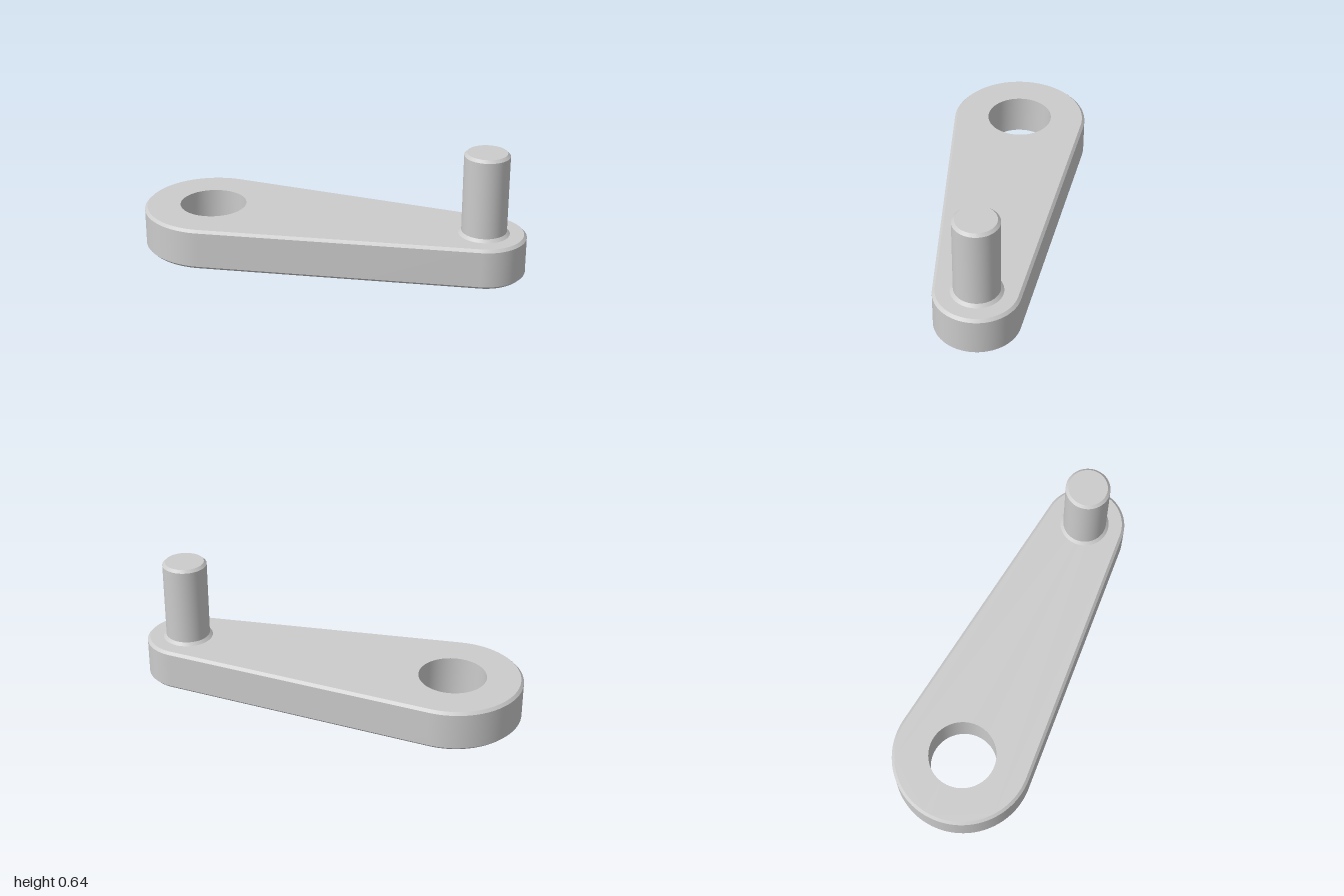
import * as THREE from 'three';
import { mergeGeometries, toCreasedNormals } from 'three/addons/utils/BufferGeometryUtils.js';

const HUB = { x: -0.643, r: 0.357 }, TIP = { x: 0.786, r: 0.214 };
const BORE = 0.172, THICK = 0.214, CHAMFER = 0.014;
const CREASE = Math.PI / 6;

// Points on an arc, counter-clockwise
function arc(cx, r, from, to, n) {
  return Array.from({ length: n + 1 }, (_, i) => {
    const a = from + (to - from) * i / n;
    return new THREE.Vector2(cx + r * Math.cos(a), r * Math.sin(a));
  });
}

// Two arcs joined by their common tangents, shrunk by an inset
function outline(inset) {
  const t = Math.acos((HUB.r - TIP.r) / (TIP.x - HUB.x));
  return [
    ...arc(TIP.x, TIP.r - inset, -t, t, 40),
    ...arc(HUB.x, HUB.r - inset, t, 2 * Math.PI - t, 56),
  ];
}

// Wall through matching closed rings, given as [points, height]
function wall(rings) {
  const pos = [], idx = [], n = rings[0][0].length;
  for (const [pts, y] of rings) for (const p of pts) pos.push(p.x, y, -p.y);
  for (let k = 0; k < rings.length - 1; k++) {
    for (let i = 0; i < n; i++) {
      const a = k * n + i, b = k * n + (i + 1) % n;
      idx.push(a, b, b + n, a, b + n, a + n);
    }
  }
  const g = new THREE.BufferGeometry();
  g.setAttribute('position', new THREE.Float32BufferAttribute(pos, 3));
  g.setIndex(idx);
  return g.toNonIndexed();
}

// Flat face of the arm with the bore cut out
function cap(y, up, hole) {
  const shape = new THREE.Shape(outline(CHAMFER));
  shape.holes.push(new THREE.Path(hole));
  const g = new THREE.ShapeGeometry(shape).toNonIndexed();
  g.rotateX(up ? -Math.PI / 2 : Math.PI / 2).translate(0, y, 0);
  g.deleteAttribute('uv');
  g.deleteAttribute('normal');
  return g;
}

export function createModel() {
  const group = new THREE.Group();
  group.name = 'crankArm';
  const material = new THREE.MeshStandardMaterial({ color: 0xcccccc });
  const add = (name, geometry) => {
    const mesh = new THREE.Mesh(toCreasedNormals(geometry, CREASE), material);
    mesh.name = name;
    group.add(mesh);
  };

  // Tapered arm: chamfered rim, plain bore, two flat faces
  const full = outline(0), inner = outline(CHAMFER);
  const hole = arc(HUB.x, BORE, 0, 2 * Math.PI, 64).slice(0, -1);
  add('arm', mergeGeometries([
    wall([[inner, 0], [full, CHAMFER], [full, THICK - CHAMFER], [inner, THICK]]),
    wall([[hole, THICK], [hole, 0]]),
    cap(THICK, true, hole),
    cap(0, false, hole),
  ]));

  // Handle pin with a flared foot and a chamfered top
  const profile = [[0.129, THICK], [0.114, 0.229], [0.114, 0.629], [0.1, 0.643], [0, 0.643]];
  const pin = new THREE.LatheGeometry(profile.map(([x, y]) => new THREE.Vector2(x, y)), 64);
  add('pin', pin.translate(TIP.x, 0, 0));

  return group;
}
